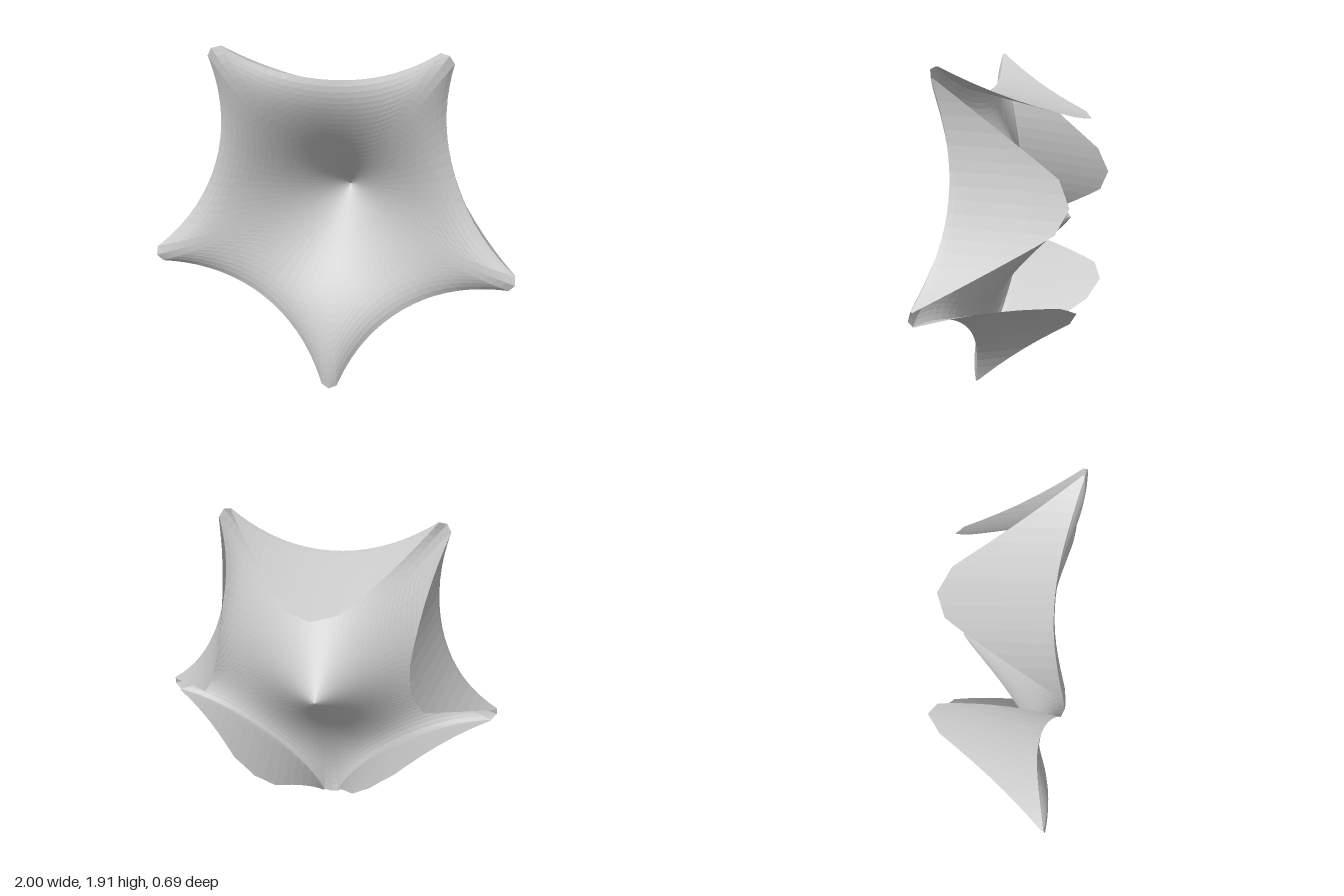
import * as THREE from 'three';

const CENTRE_Y = 1.05, APEX_Z = -0.24, TIP_R = 1.05, TIP_Z = 0.345;

// Half of one side of the star, measured from the middle of the valley to the tip
const HALF = [0, 0.07, 0.14, 0.2, 0.27, 0.34, 0.41, 0.47, 0.52, 0.55, 0.57];
const COLUMNS = [...HALF.slice(1).map(u => -u).reverse(), ...HALF].reverse();

// Valley rim: distance from the centre and depth, both rising towards the tips
const rimV = u => 0.69 + 0.46 * u ** 2 + 0.2 * u ** 4;
const rimZ = u => 0.24 + 0.3 * u ** 2 - 0.14 * u ** 4;

// Round bowl profile: depth at a distance from the centre
const bowlZ = r => TIP_Z + (APEX_Z - TIP_Z) * (1 - Math.min(1, r / TIP_R) ** 1.15) ** 2.52;

// Blunt-ended free edge of a flap
const EDGE = [[0, -0.35], [0.14, -0.29], [0.2, -0.21], [0.57, 0.31]];
function edgeZ(u) {
  const a = Math.abs(u);
  const i = a <= 0.14 ? 0 : a <= 0.2 ? 1 : 2;
  const [p, q] = [EDGE[i], EDGE[i + 1]];
  return p[1] + (q[1] - p[1]) * (a - p[0]) / (q[0] - p[0]);
}

// Surface through rows of points
function surface(rows, name, material) {
  const n = rows[0].length, index = [];
  for (let j = 0; j < rows.length - 1; j++) {
    for (let i = 0; i < n - 1; i++) {
      const a = j * n + i, b = a + 1, c = a + n, d = c + 1;
      index.push(a, c, b, b, c, d);
    }
  }
  const geometry = new THREE.BufferGeometry().setFromPoints(rows.flat());
  geometry.setIndex(index);
  geometry.computeVertexNormals();
  const mesh = new THREE.Mesh(geometry, material);
  mesh.name = name;
  mesh.position.y = CENTRE_Y;
  return mesh;
}

export function createModel() {
  const group = new THREE.Group();
  group.name = 'starFlower';
  const material = new THREE.MeshStandardMaterial({
    color: 0xcccccc, flatShading: true, side: THREE.DoubleSide,
  });

  // Closed star outline, counter-clockwise: five valleys joined by rounded tips
  const outline = [];
  const axis = new THREE.Vector3(0, 0, 1);
  for (let k = 0; k < 5; k++) {
    const turn = k * Math.PI * 2 / 5;
    for (const u of COLUMNS) {
      outline.push(new THREE.Vector3(u, rimV(u), rimZ(u)).applyAxisAngle(axis, turn));
    }
    const tip = turn + Math.PI * 0.7;
    outline.push(new THREE.Vector3(TIP_R * Math.cos(tip), TIP_R * Math.sin(tip), 0.335));
  }
  outline.push(outline[0].clone());

  // Round funnel trimmed to the star, its border rolling over to meet the rim
  const rings = 22, funnelRows = [];
  for (let j = 0; j <= rings; j++) {
    const s = j / rings;
    funnelRows.push(outline.map(p => {
      const r = Math.hypot(p.x, p.y);
      const roll = (bowlZ(r) - p.z) * s ** 8;
      return new THREE.Vector3(p.x * s, p.y * s, bowlZ(r * s) - roll);
    }));
  }
  group.add(surface(funnelRows, 'funnel', material));

  // Flaps folded back from each valley, leaning inwards
  const flapRows = [0, 0.06, 0.15, 0.4, 0.7, 1].map(w => COLUMNS.map(u => {
    const drop = (rimZ(u) - edgeZ(u)) * w;
    const lean = 0.235 * drop * drop / (drop + 0.02);
    return new THREE.Vector3(u, rimV(u) - lean, rimZ(u) - drop);
  }));
  for (let k = 0; k < 5; k++) {
    const flap = surface(flapRows, 'flap' + (k + 1), material);
    flap.rotation.z = k * Math.PI * 2 / 5;
    group.add(flap);
  }
  return group;
}
